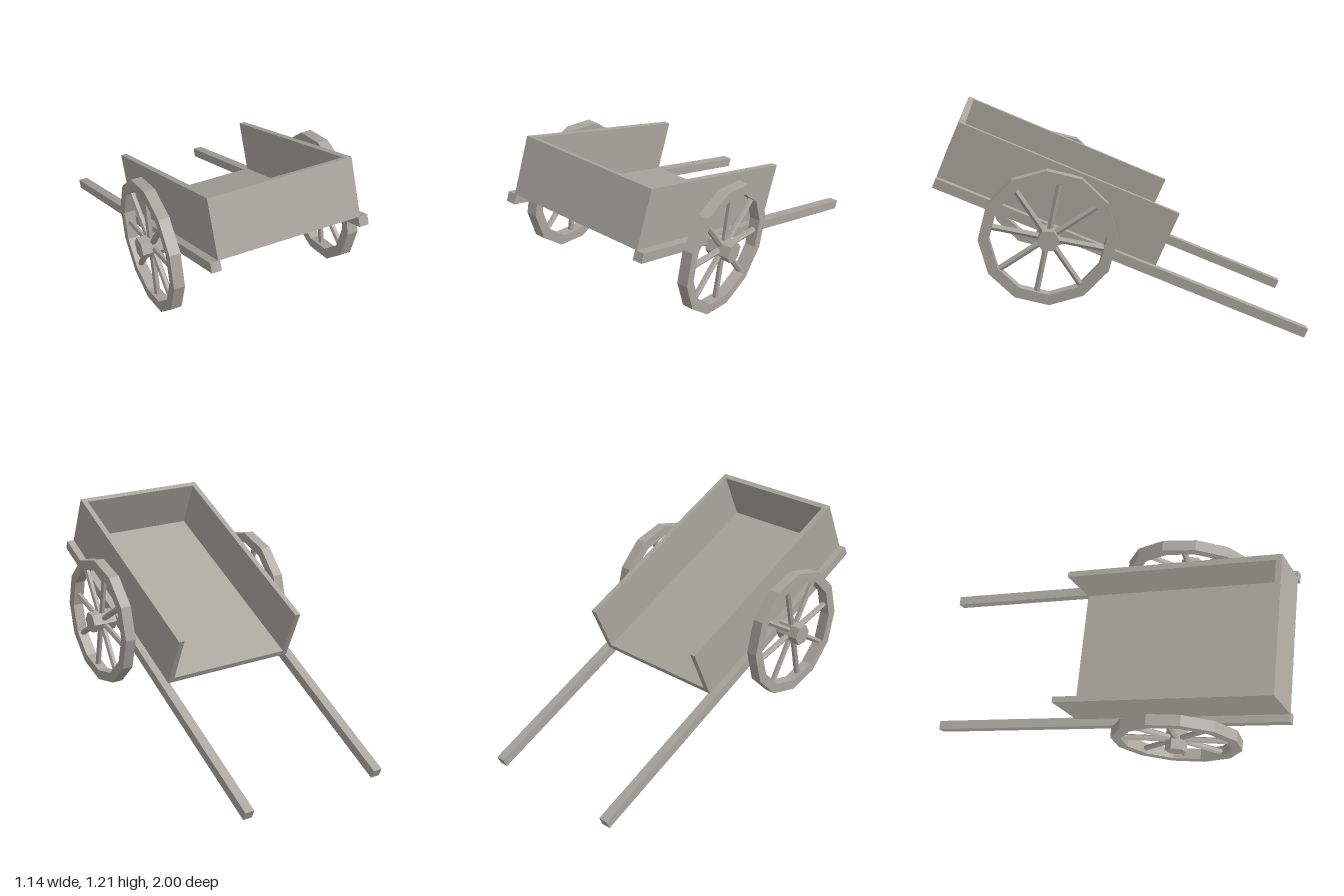
import * as THREE from 'three';

export function createModel() {
  const cart = new THREE.Group();
  cart.name = 'handcart';
  const wood = new THREE.MeshStandardMaterial({ color: 0xaaa69e, flatShading: true });
  wood.name = 'weathered grey wood';

  const add = (parent, name, geometry, x = 0, y = 0, z = 0) => {
    const mesh = new THREE.Mesh(geometry, wood);
    mesh.name = name;
    mesh.position.set(x, y, z);
    parent.add(mesh);
    return mesh;
  };
  // box given by its lower and upper limits
  const plank = (parent, name, [x0, x1], [y0, y1], [z0, z1]) =>
    add(parent, name, new THREE.BoxGeometry(x1 - x0, y1 - y0, z1 - z0),
      (x0 + x1) / 2, (y0 + y1) / 2, (z0 + z1) / 2);
  // six-sided bar lying along x
  const crossBar = (radius, length) =>
    new THREE.CylinderGeometry(radius, radius, length, 6).rotateZ(Math.PI / 2);

  // tilted body, pivoting on the shaft tips that rest on the ground
  const body = new THREE.Group();
  body.name = 'body';
  body.position.set(0, 0, -0.979);
  body.rotation.x = -0.418;
  cart.add(body);

  const length = 2.167, back = 0.915, shaftTop = 0.053, wallTop = 0.364, board = 0.032;
  plank(body, 'floor', [-0.358, 0.358], [shaftTop, shaftTop + board], [back, length - board]);
  plank(body, 'frontPanel', [-0.39, 0.39], [shaftTop, wallTop], [length - board, length]);
  for (const [side, s] of [['left', 1], ['right', -1]]) {
    const span = (a, b) => (s > 0 ? [a, b] : [-b, -a]);
    plank(body, side + 'Wall', span(0.358, 0.39), [shaftTop, wallTop], [back, length - board]);
    plank(body, side + 'Shaft', span(0.38, 0.432), [0, shaftTop], [0, length]);
  }

  // axle
  const axleY = 0.62, axleZ = 0.408;
  add(cart, 'axle', crossBar(0.031, 0.9), 0, axleY, axleZ);

  // twelve-sided rim with a matching hole
  const ring = (radius) => Array.from({ length: 12 }, (_, i) => {
    const a = (i * Math.PI) / 6;
    return new THREE.Vector2(radius * Math.cos(a), radius * Math.sin(a));
  });
  const rimShape = new THREE.Shape(ring(0.362));
  rimShape.holes.push(new THREE.Path(ring(0.305)));
  const rimWidth = 0.06;
  const rim = new THREE.ExtrudeGeometry(rimShape, { depth: rimWidth, bevelEnabled: false })
    .translate(0, 0, -rimWidth / 2).rotateY(Math.PI / 2);
  const spoke = new THREE.CylinderGeometry(0.017, 0.017, 0.28, 6)
    .rotateY(Math.PI / 2).translate(0, 0.17, 0);

  for (const [side, s] of [['left', 1], ['right', -1]]) {
    const wheel = new THREE.Group();
    wheel.name = side + 'Wheel';
    wheel.position.set(s * 0.501, axleY, axleZ);
    cart.add(wheel);
    add(wheel, 'rim', rim);
    add(wheel, 'hub', crossBar(0.06, 0.14));
    for (let i = 0; i < 8; i++) {
      add(wheel, 'spoke', spoke).rotation.x = THREE.MathUtils.degToRad(45 * i - 57.5);
    }
  }
  return cart;
}
